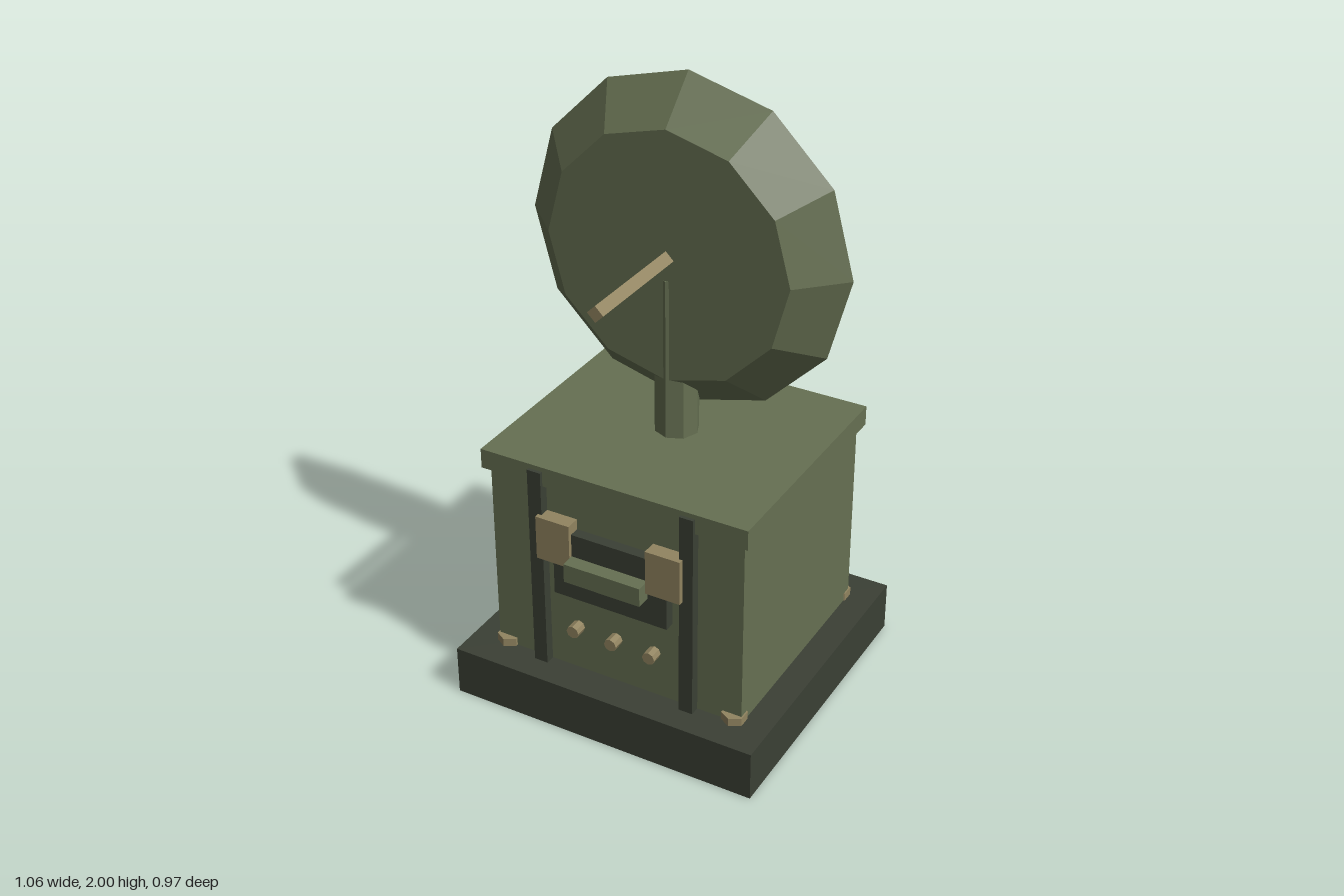
import * as THREE from 'three';

export function createModel() {
  const model = new THREE.Group();
  const paint = (name, color) => {
    const m = new THREE.MeshStandardMaterial({ color, flatShading: true });
    m.name = name;
    return m;
  };
  const olive = paint('olive green', 0x667052);
  const dark = paint('dark green', 0x3b4035);
  const tan = paint('tan', 0x918460);

  const add = (name, geometry, material, x, y, z) => {
    const mesh = new THREE.Mesh(geometry, material);
    mesh.name = name;
    mesh.position.set(x, y, z);
    model.add(mesh);
    return mesh;
  };
  // Box given by its lower and upper corners
  const box = (name, material, [x0, y0, z0], [x1, y1, z1]) =>
    add(name, new THREE.BoxGeometry(x1 - x0, y1 - y0, z1 - z0), material,
      (x0 + x1) / 2, (y0 + y1) / 2, (z0 + z1) / 2);
  // Faceted cylinder whose axis points to the front
  const forward = (name, material, rFront, rBack, z0, z1, sides, x, y) => {
    const g = new THREE.CylinderGeometry(rFront, rBack, z1 - z0, sides).rotateX(Math.PI / 2);
    return add(name, g, material, x, y, (z0 + z1) / 2);
  };

  // Cabinet on its plinth
  box('base', dark, [-0.52, 0, -0.487], [0.52, 0.165, 0.487]);
  box('cabinet', olive, [-0.43, 0.165, -0.375], [0.43, 0.82, 0.375]);
  box('lid', olive, [-0.45, 0.81, -0.396], [0.45, 0.875, 0.396]);

  // Vertical straps, front and back, and anchor bolts at the corners
  for (const sx of [-1, 1]) {
    for (const sz of [-1, 1]) {
      add('strap', new THREE.BoxGeometry(0.046, 0.695, 0.04), dark, sx * 0.257, 0.5125, sz * 0.387);
      add('anchorBolt', new THREE.CylinderGeometry(0.04, 0.04, 0.028, 6), tan, sx * 0.4, 0.178, sz * 0.363);
    }
    // Latch blocks beside the recess
    const x = sx * 0.188;
    box('latch', tan, [x - 0.058, 0.567, 0.37], [x + 0.058, 0.715, 0.423]);
  }

  // Control panel, handle and knobs
  box('frontPanel', dark, [-0.195, 0.45, 0.365], [0.195, 0.68, 0.41]);
  box('handle', olive, [-0.13, 0.54, 0.4], [0.13, 0.603, 0.457]);
  for (const x of [-0.133, 0, 0.133]) forward('knob', tan, 0.021, 0.021, 0.37, 0.415, 8, x, 0.323);

  // Mast, dish and feed rod
  add('mast', new THREE.CylinderGeometry(0.07, 0.07, 0.53, 8), olive, 0, 1.135, 0);
  forward('dish', olive, 0.398, 0.53, -0.066, 0.066, 12, 0, 1.47);
  forward('feedRod', tan, 0.026, 0.026, 0.05, 0.455, 4, 0, 1.47);

  return model;
}
